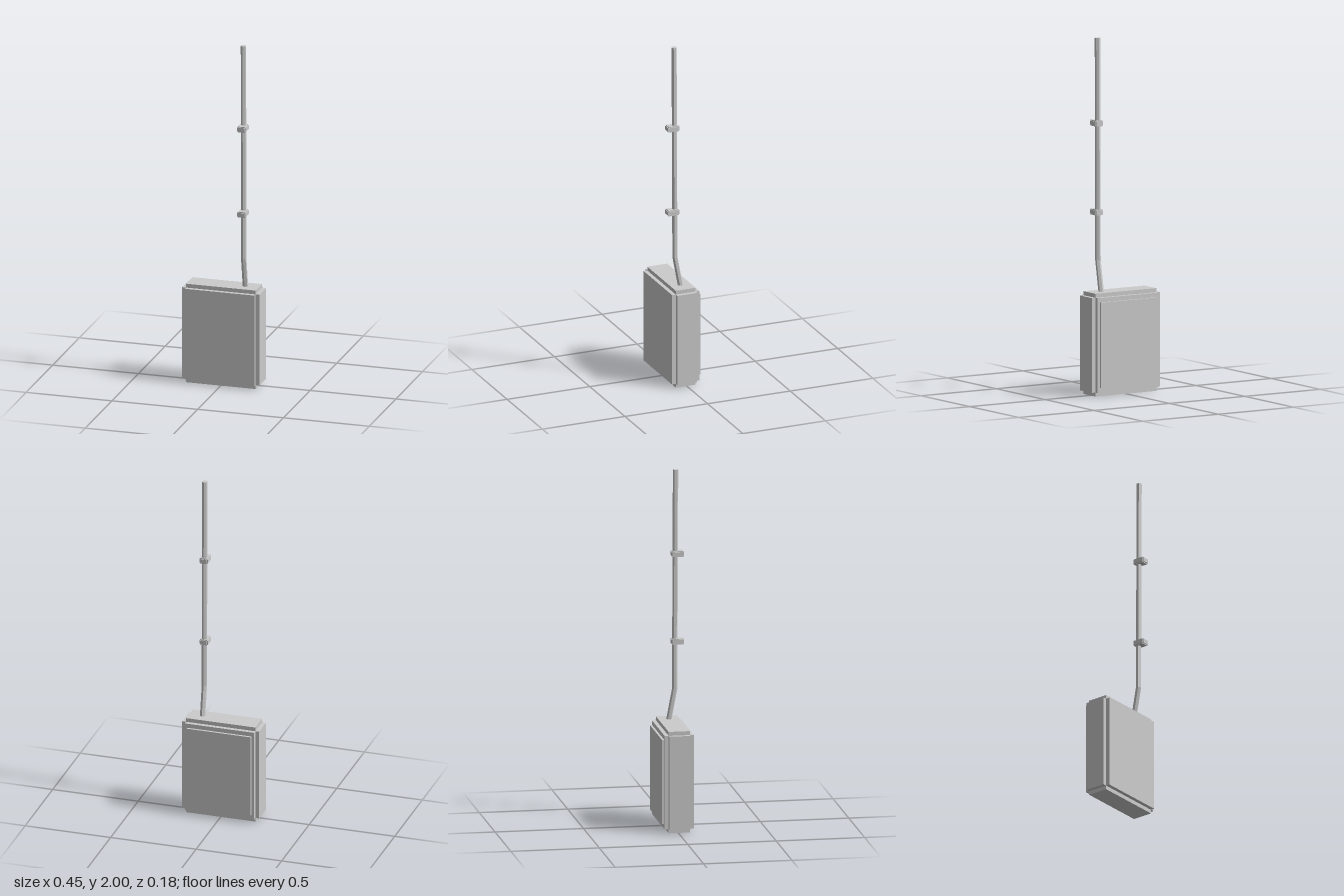
import * as THREE from 'three';

const grey = new THREE.MeshStandardMaterial({ color: 0xcccccc, flatShading: true });

function box(name, [w, h, d], [x, y, z]) {
  const mesh = new THREE.Mesh(new THREE.BoxGeometry(w, h, d), grey);
  mesh.name = name;
  mesh.position.set(x, y, z);
  return mesh;
}

// A block with stepped edges: three crossed boxes, each full length on one axis
function steppedBlock(name, size, center, step) {
  const group = new THREE.Group();
  group.name = name;
  ['sides', 'topAndBottom', 'frontAndBack'].forEach((part, axis) => {
    const s = size.map((v, i) => (i === axis ? v : v - 2 * step));
    group.add(box(part, s, [0, 0, 0]));
  });
  group.position.set(...center);
  return group;
}

// Six-sided conduit, bent by shifting its rings to follow the path [y, z]
function conduit(x, path, radius) {
  const rows = path.length - 1;
  const geometry = new THREE.CylinderGeometry(radius, radius, rows, 6, rows);
  const p = geometry.attributes.position;
  for (let i = 0; i < p.count; i++) {
    const [y, z] = path[Math.round(p.getY(i) + rows / 2)];
    p.setXYZ(i, p.getX(i) + x, y, p.getZ(i) + z);
  }
  geometry.computeVertexNormals();
  const mesh = new THREE.Mesh(geometry, grey);
  mesh.name = 'conduit';
  return mesh;
}

export function createModel() {
  const model = new THREE.Group();
  model.name = 'junctionBox';

  // Cabinet and the raised panel on its back
  model.add(steppedBlock('cabinet', [0.45, 0.578, 0.165], [0, 0.289, 0.0055], 0.0225));
  model.add(box('backPanel', [0.374, 0.48, 0.02], [0, 0.291, -0.08]));

  // Conduit rising from the cabinet top
  model.add(conduit(0.125, [[0.57, 0.004], [0.75, 0.038], [2, 0.043]], 0.0155));

  // Clips holding the conduit
  for (const y of [1.02, 1.52]) {
    model.add(steppedBlock('clip', [0.05, 0.033, 0.07], [0.125, y, 0.053], 0.005));
  }
  return model;
}
